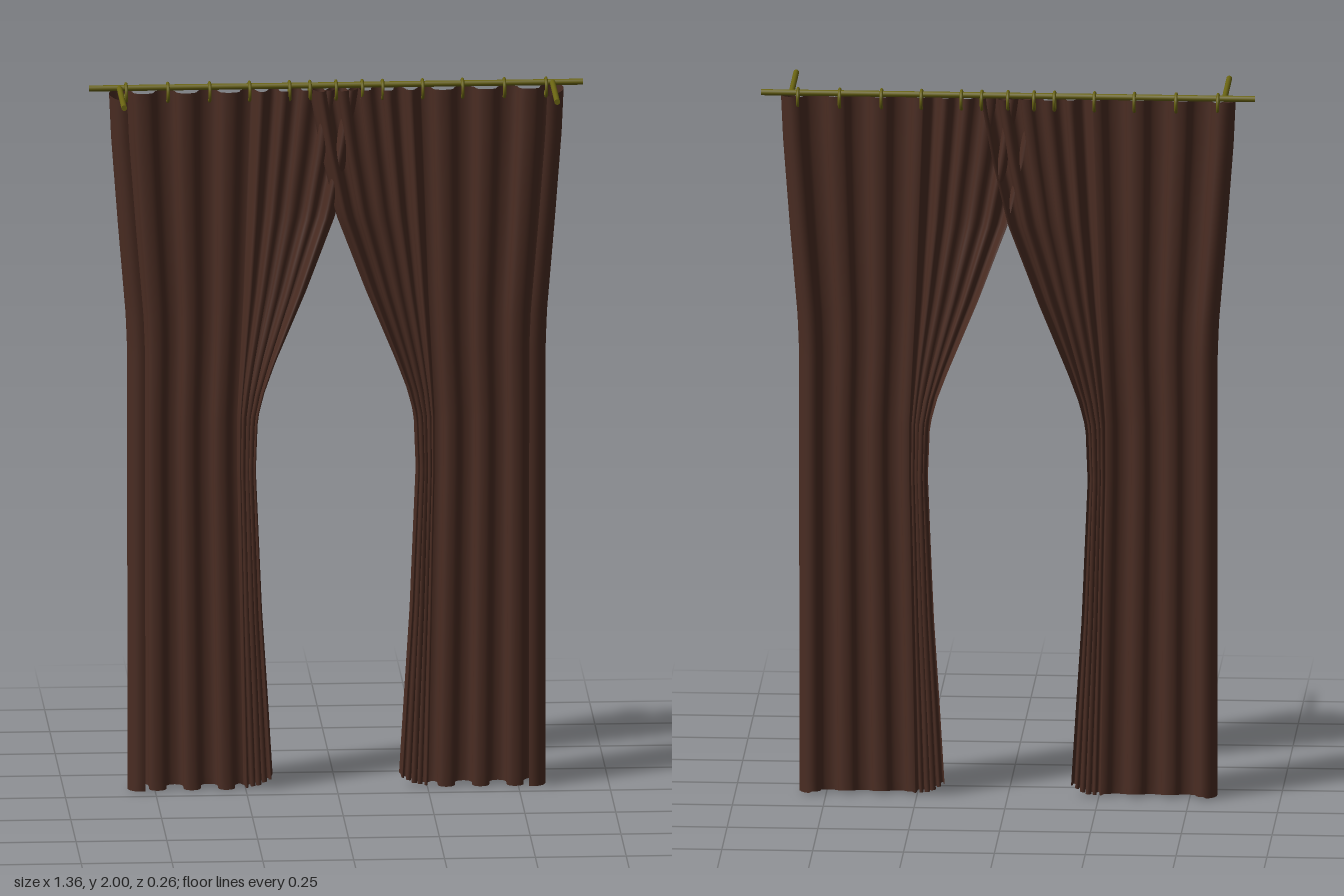
import * as THREE from 'three';

const cloth = new THREE.MeshStandardMaterial({ color: 0x4a2c22, side: THREE.DoubleSide });
cloth.name = 'brown cloth';
const brass = new THREE.MeshStandardMaterial({ color: 0x6a6412 });
brass.name = 'dull brass';

const ROD_Y = 1.985, ROD_Z = -0.098;
const lerp = THREE.MathUtils.lerp, smooth = THREE.MathUtils.smoothstep;

// Edge lines of one panel as [height, x]
const INNER = [[0, 0.172], [0.25, 0.187], [0.5, 0.203], [0.9, 0.22], [1.05, 0.214], [1.12, 0.196],
  [1.2, 0.166], [1.4, 0.083], [1.62, 0], [1.8, -0.042], [1.98, -0.075]];
const SEAM = [[0, 0.255], [0.9, 0.272], [1.05, 0.272], [1.4, 0.255], [1.98, 0.235]];
const OUTER = [[0, 0.575], [1.25, 0.576], [1.35, 0.58], [1.6, 0.601], [1.85, 0.62], [1.98, 0.626]];

function along(table, y) {
  let i = 0;
  while (i < table.length - 2 && y > table[i + 1][0]) i++;
  const [a, b] = [table[i], table[i + 1]];
  return lerp(a[1], b[1], THREE.MathUtils.clamp((y - a[0]) / (b[0] - a[0]), 0, 1));
}

// Point on the panel: zone 0 = gathered folds, 1 = hanging folds, 2 = rolled outer edge
function clothPoint(zone, t, v) {
  const inward = zone === 0 ? 1 - t : 0;
  const bottom = 0.006 + 0.028 * inward * inward + (zone === 1 ? 0.004 * Math.cos(t * 6 * Math.PI) : 0);
  const top = zone === 2 ? 1.978 - 0.02 * t * t : 1.976;
  const y = lerp(bottom, top, v);
  const inner = along(INNER, y), seam = along(SEAM, y), outer = along(OUTER, y);
  const flatEnd = outer - 0.036;
  if (zone === 0) {
    const tight = 1 - smooth(Math.abs(y - 1.0), 0.05, 0.75);
    const amp = lerp(lerp(0.024, 0.04, tight), 0.02, smooth(t, 0.75, 1));
    const phase = t * 10 * Math.PI;
    const swell = 0.8 + 0.2 * Math.cos(phase * 0.4 + y * 2);
    const z = -0.083 - 0.006 * Math.sin(t * Math.PI) - amp * Math.cos(phase) * lerp(swell, 1, smooth(t, 0.75, 1));
    const sway = 0.006 * Math.sin(phase * 2) * Math.sin(t * Math.PI);
    return [lerp(inner, seam, t) + sway, y, z];
  }
  if (zone === 1) {
    const amp = lerp(0.02, 0.037, smooth(t, 0.85, 1));
    const phase = t * 6 * Math.PI;
    return [lerp(seam, flatEnd, t) + 0.008 * Math.sin(phase * 2), y, -0.083 - amp * Math.cos(phase)];
  }
  const a = t * Math.PI * 1.1;
  return [flatEnd + 0.036 * Math.sin(a), y, -0.08 - 0.04 * Math.cos(a)];
}

// One panel; side = +1 or -1
function panel(side) {
  const columns = [];
  [80, 72, 16].forEach((n, zone) => {
    for (let i = zone ? 1 : 0; i <= n; i++) columns.push([zone, i / n]);
  });
  const rows = 64, w = columns.length, pos = [], index = [];
  for (let j = 0; j <= rows; j++) {
    for (const [zone, t] of columns) {
      const [x, y, z] = clothPoint(zone, t, j / rows);
      // small shift keeps the two crossing panels apart at the top
      const shift = side * 0.008 * smooth(y, 1.4, 1.7) * (zone === 0 ? 1 - t : 0);
      pos.push(side * x, y, z + shift);
    }
  }
  for (let j = 0; j < rows; j++) {
    for (let i = 0; i < w - 1; i++) {
      const a = j * w + i, b = a + 1, c = b + w, d = a + w;
      if (side > 0) index.push(a, b, c, a, c, d);
      else index.push(a, c, b, a, d, c);
    }
  }
  const g = new THREE.BufferGeometry();
  g.setAttribute('position', new THREE.Float32BufferAttribute(pos, 3));
  g.setIndex(index);
  g.computeVertexNormals();
  return g;
}

export function createModel() {
  const group = new THREE.Group();
  const add = (name, geometry, material, x = 0, y = 0, z = 0) => {
    const mesh = new THREE.Mesh(geometry, material);
    mesh.name = name;
    mesh.position.set(x, y, z);
    group.add(mesh);
    return mesh;
  };

  // Curtain panels
  add('leftCurtain', panel(1), cloth);
  add('rightCurtain', panel(-1), cloth);

  // Rod and wall brackets
  const rod = new THREE.CylinderGeometry(0.0085, 0.0085, 1.36, 16).rotateZ(Math.PI / 2);
  add('rod', rod, brass, 0, ROD_Y, ROD_Z);
  const bracket = new THREE.CylinderGeometry(0.008, 0.008, 0.228, 16).rotateX(Math.PI / 2);
  for (const s of [1, -1]) add(s > 0 ? 'leftBracket' : 'rightBracket', bracket, brass, s * 0.596, ROD_Y, 0.016);

  // Rings
  const ring = new THREE.TorusGeometry(0.025, 0.0045, 8, 24).rotateY(Math.PI / 2);
  for (const x of [0, 0.072, 0.128, 0.238, 0.348, 0.463, 0.578]) {
    for (const s of x ? [1, -1] : [1]) add('ring', ring, brass, s * x, 1.971, ROD_Z);
  }
  return group;
}
